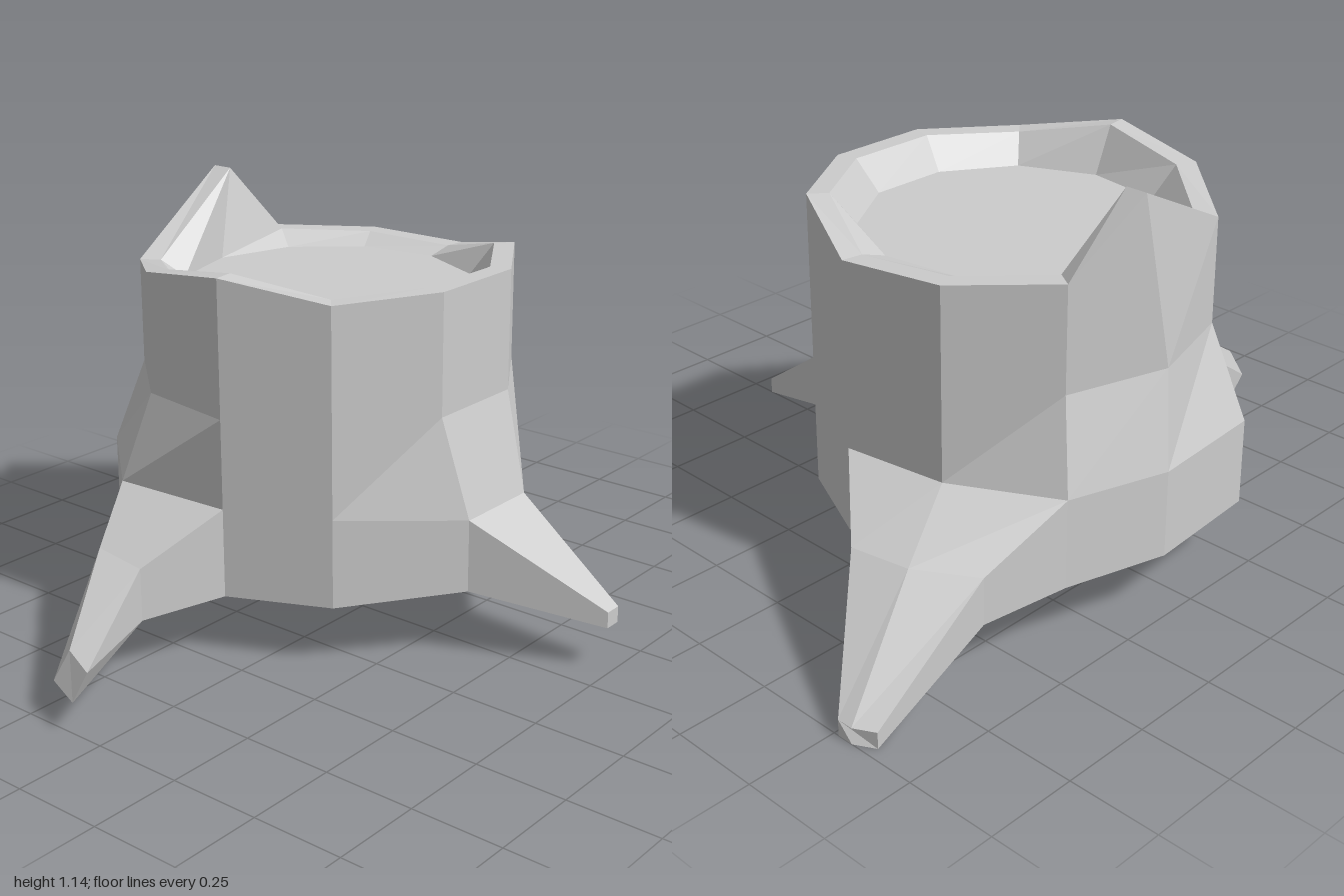
import * as THREE from 'three';

const SIDES = 11;
const CENTRE = [0.055, -0.165];

// Regular ring of points; heights is a number or one value per corner, moved replaces single corners
function ring(radius, heights, moved = {}) {
  return Array.from({ length: SIDES }, (_, i) => {
    if (moved[i]) return moved[i];
    const a = ((i + 0.5) / SIDES) * Math.PI * 2;
    const y = Array.isArray(heights) ? heights[i] : heights;
    return [CENTRE[0] + radius * Math.sin(a), y, CENTRE[1] + radius * Math.cos(a)];
  });
}

// Joins closed loops with flat facets, leaving out any side that skip() names
function loft(loops, { cap = false, skip = () => false } = {}) {
  const pos = [];
  const tri = (...pts) => pts.forEach((p) => pos.push(...p));
  for (let k = 0; k < loops.length - 1; k++) {
    const a = loops[k], b = loops[k + 1], n = a.length;
    for (let i = 0; i < n; i++) {
      if (skip(k, i)) continue;
      const j = (i + 1) % n;
      tri(b[i], b[j], a[j]);
      tri(b[i], a[j], a[i]);
    }
  }
  if (cap) {
    const end = loops[loops.length - 1];
    for (let i = 1; i < end.length - 1; i++) tri(end[0], end[i + 1], end[i]);
  }
  const geometry = new THREE.BufferGeometry();
  geometry.setAttribute('position', new THREE.Float32BufferAttribute(pos, 3));
  geometry.computeVertexNormals();
  return geometry;
}

export function createModel() {
  const group = new THREE.Group();
  const wood = new THREE.MeshStandardMaterial({ color: 0xcccccc });
  wood.name = 'greyWood';
  wood.flatShading = true;
  const add = (name, geometry) => {
    const mesh = new THREE.Mesh(geometry, wood);
    mesh.name = name;
    group.add(mesh);
  };

  // Corners run from the front, round the +x side, to the back and on
  const rimHeights = [0.99, 0.99, 0.925, 0.935, 0.945, 1.14, 0.95, 0.99, 1.03, 0.98, 0.99];
  const floor = ring(0.395, 0.905);
  const innerRim = ring(0.462, rimHeights, { 5: [0.16, 1.14, -0.62] });
  const outerRim = ring(0.52, rimHeights, { 5: [0.16, 1.14, -0.68] });
  const waist = ring(0.52, 0.66);
  const flare = ring(0.52, 0.415, {
    0: [0.18, 0.39, 0.41], 10: [-0.07, 0.39, 0.41],
    4: [0.38, 0.415, -0.655], 5: [0.1, 0.41, -0.735],
    6: [-0.245, 0.41, -0.71], 7: [-0.48, 0.415, -0.44],
  });
  const foot = flare.map(([x, , z], i) => [x, i === 0 || i === 10 ? 0.19 : 0.17, z]);

  // Trunk, open where the roots grow out
  const rootSides = [10, 2, 3, 7];
  add('trunk', loft([outerRim, waist, flare, foot], {
    skip: (k, i) => k === 2 && rootSides.includes(i),
  }));
  add('rim', loft([innerRim, outerRim]));
  add('hollowWall', loft([floor, innerRim]));
  const point = (y) => Array(SIDES).fill([CENTRE[0], y, CENTRE[1]]);
  add('hollowFloor', loft([point(0.905), floor]));
  add('underside', loft([foot, point(0.17)]));

  // Each root starts at the trunk opening: top corners in order, bottom corners back
  const opening = (...ids) => [
    ...ids.map((i) => flare[i]),
    ...ids.slice().reverse().map((i) => foot[i]),
  ];
  add('frontRoot', loft([
    opening(10, 0),
    [[0.098, 0.165, 0.735], [0.147, 0.165, 0.735], [0.147, 0.12, 0.735], [0.098, 0.12, 0.735]],
  ], { cap: true }));

  add('leftRoot', loft([
    opening(2, 3, 4),
    [[0.75, 0.295, -0.295], [0.72, 0.295, -0.46], [0.62, 0.29, -0.61],
      [0.62, 0.16, -0.61], [0.72, 0.155, -0.46], [0.75, 0.153, -0.295]],
    [[1, 0.045, -0.515], [1, 0.045, -0.56], [0.97, 0.045, -0.615],
      [0.97, 0, -0.615], [1, 0, -0.56], [1, 0, -0.515]],
  ], { cap: true }));

  add('rightRoot', loft([
    opening(7, 8),
    [[-0.65, 0.3, -0.355], [-0.67, 0.295, -0.185], [-0.67, 0.15, -0.185], [-0.65, 0.155, -0.355]],
    [[-0.94, 0.18, -0.16], [-0.975, 0.165, -0.06], [-1, 0.085, -0.09], [-0.97, 0.1, -0.19]],
  ], { cap: true }));

  return group;
}
